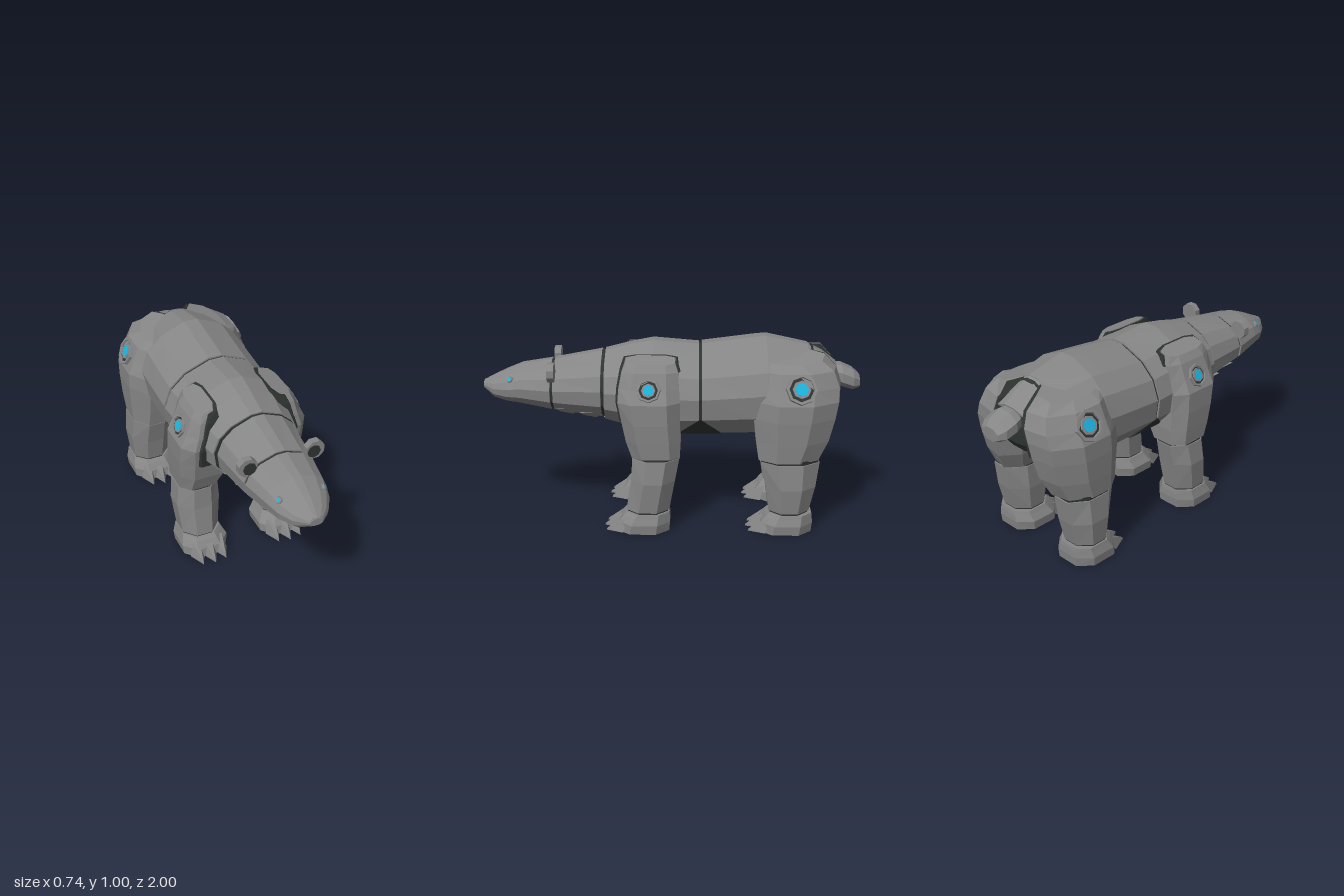
import * as THREE from 'three';
import { ConvexGeometry } from 'three/addons/geometries/ConvexGeometry.js';

const mat = (color) => new THREE.MeshStandardMaterial({ color, flatShading: true });
const GREY = mat(0x868686), DARK = mat(0x2e3431), BLUE = mat(0x1cb4e0);
const V = (x, y, z) => new THREE.Vector3(x, y, z);

function add(parent, name, geo, material = GREY) {
  const m = new THREE.Mesh(geo, material);
  m.name = name;
  parent.add(m);
  return m;
}

// Closed skin over a row of cross-sections; winding is turned outward by signed volume
function loft(rings) {
  const n = rings[0].length, pts = rings.flat(), idx = [];
  for (let i = 0; i < rings.length - 1; i++) {
    for (let j = 0; j < n; j++) {
      const a = i * n + j, b = i * n + (j + 1) % n;
      idx.push(a, b, b + n, a, b + n, a + n);
    }
  }
  for (const [r, flip] of [[0, true], [rings.length - 1, false]]) {
    const c = pts.length;
    pts.push(rings[r].reduce((s, p) => s.add(p), V(0, 0, 0)).divideScalar(n));
    for (let j = 0; j < n; j++) {
      const a = r * n + j, b = r * n + (j + 1) % n;
      idx.push(c, ...(flip ? [b, a] : [a, b]));
    }
  }
  let vol = 0;
  for (let i = 0; i < idx.length; i += 3) {
    vol += pts[idx[i]].dot(pts[idx[i + 1]].clone().cross(pts[idx[i + 2]]));
  }
  if (vol < 0) idx.reverse();
  const g = new THREE.BufferGeometry().setFromPoints(pts);
  g.setIndex(idx);
  g.computeVertexNormals();
  return g;
}

// Body cross-section: half outline as [share of half-width, share of height]
const HALF = [[0.13, 1], [0.6, 0.88], [0.87, 0.72], [1, 0.5], [0.95, 0.26], [0.66, 0.06], [0.22, 0]];
const OUTLINE = [...HALF, ...HALF.slice().reverse().map(([x, y]) => [-x, y])];
function bodyRing([z, top, bottom, hw], k) {
  const mid = (top + bottom) / 2, h = (top - bottom) * k;
  return OUTLINE.map(([x, v]) => V(x * hw * k, mid + (v - 0.5) * h, z));
}
function sample(table, z) {
  let i = 0;
  while (i < table.length - 2 && z < table[i + 1][0]) i++;
  const a = table[i], b = table[i + 1], t = (a[0] - z) / (a[0] - b[0]);
  return a.map((v, k) => v + (b[k] - v) * t);
}
// Piece of a body table between two z values (front to back)
function plate(table, z0, z1, k = 1) {
  const rows = [sample(table, z0), ...table.filter((r) => r[0] < z0 - 0.005 && r[0] > z1 + 0.005), sample(table, z1)];
  return loft(rows.map((r) => bodyRing(r, k)));
}

// Limb from rows [y, xInner, xOuter, zBack, zFront]. c: flat share of each side,
// sweep: outer back corner pulled forward, tilt: top row sloping down outward
function limb(rows, s, { k = 1, c = 0.42, sweep = 0, tilt = 0 } = {}) {
  const octagon = [[1, c], [c, 1], [-c, 1], [-1, c], [-1, -c], [-c, -1], [c, -1], [1, -c]];
  return loft(rows.map(([y, x0, x1, z0, z1], i) => octagon.map(([u, w]) => V(
    s * ((x0 + x1) / 2 + u * k * (x1 - x0) / 2),
    y - (i === rows.length - 1 ? tilt * u : 0),
    (z0 + z1) / 2 + w * k * (z1 - z0) / 2 + (w < 0 ? sweep * u : 0)))));
}

// z, top, bottom, half-width
const TORSO = [
  [0.36, 0.915, 0.56, 0.235], [0.2, 0.955, 0.52, 0.265], [0.09, 0.975, 0.475, 0.29], [-0.14, 0.955, 0.49, 0.3],
  [-0.43, 0.993, 0.49, 0.3], [-0.5, 1, 0.5, 0.3], [-0.74, 0.95, 0.54, 0.24], [-0.83, 0.885, 0.6, 0.19], [-0.87, 0.84, 0.66, 0.15],
];
const HEAD = [
  [1, 0.745, 0.705, 0.035], [0.94, 0.775, 0.66, 0.095], [0.87, 0.808, 0.645, 0.138], [0.79, 0.84, 0.635, 0.162],
  [0.63, 0.865, 0.605, 0.192], [0.35, 0.918, 0.565, 0.222],
];

// Round joint cover: bevelled ring, dark well, inner ring, lit centre
function hub(parent, s, x, y, z, r, yaw) {
  const g = new THREE.Group();
  g.name = 'jointHub';
  const profile = [[1, -0.04], [0.93, 0.014], [0.76, 0.014], [0.7, -0.01]];
  add(g, 'hubRing', new THREE.LatheGeometry(profile.map(([p, q]) => new THREE.Vector2(p * r, q)), 8));
  add(g, 'hubWell', new THREE.CylinderGeometry(r * 0.73, r * 0.73, 0.04, 8).translate(0, -0.016, 0), DARK);
  add(g, 'hubInnerRing', new THREE.CylinderGeometry(r * 0.55, r * 0.6, 0.02, 8));
  add(g, 'hubLight', new THREE.CylinderGeometry(r * 0.41, r * 0.41, 0.01, 8).translate(0, 0.007, 0), BLUE);
  g.position.set(s * x, y, z);
  g.quaternion.setFromUnitVectors(V(0, 1, 0), V(s, 0.48, yaw).normalize());
  parent.add(g);
}

const FRONT = {
  thigh: [[0.414, 0.12, 0.345, -0.05, 0.2], [0.5, 0.07, 0.35, -0.055, 0.23], [0.6, 0.07, 0.354, -0.05, 0.25],
    [0.71, 0.1, 0.352, -0.05, 0.27], [0.78, 0.13, 0.318, -0.045, 0.265], [0.86, 0.15, 0.288, -0.04, 0.25], [0.912, 0.165, 0.262, -0.025, 0.23]],
  shin: [[0.115, 0.135, 0.342, 0.005, 0.23], [0.28, 0.115, 0.358, -0.025, 0.205], [0.402, 0.122, 0.345, -0.048, 0.198]],
  toe: 0.35, shape: { c: 0.58, tilt: 0.014 }, hub: [0.318, 0.78, 0.11, 0.066, 0.05],
};
const HIND = {
  thigh: [[0.398, 0.12, 0.348, -0.78, -0.46], [0.5, 0.08, 0.355, -0.83, -0.445], [0.62, 0.06, 0.36, -0.86, -0.43],
    [0.71, 0.05, 0.358, -0.875, -0.43], [0.78, 0.04, 0.327, -0.878, -0.435], [0.86, 0.04, 0.294, -0.85, -0.45], [0.915, 0.07, 0.235, -0.79, -0.47]],
  shin: [[0.115, 0.135, 0.342, -0.73, -0.52], [0.25, 0.12, 0.355, -0.76, -0.5], [0.386, 0.122, 0.345, -0.778, -0.47]],
  toe: -0.4, shape: { c: 0.45, sweep: 0.025, tilt: 0.022 }, hub: [0.322, 0.79, -0.665, 0.085, -0.06],
};

function leg(name, spec, s) {
  const g = new THREE.Group();
  g.name = name;
  const { thigh, shin, toe, shape } = spec;
  add(g, 'thigh', limb(thigh, s, shape));
  add(g, 'shin', limb(shin, s));
  // dark seam where the thigh cover meets the body
  add(g, 'thighSeam', limb(thigh.slice(2).map(([y, x0, x1, z0, z1]) => [y, x0 - 0.014, x1 - 0.035, z0 - (toe > 0 ? 0.012 : 0), z1 + 0.012]), s, shape), DARK);
  // dark joints showing in the gaps
  add(g, 'kneeJoint', limb([[shin[2][0] - 0.01, ...shin[2].slice(1)], [thigh[0][0] + 0.01, ...thigh[0].slice(1)]], s, { k: 0.95 }), DARK);
  add(g, 'ankleJoint', limb([0.08, 0.13].map((y) => [y, ...shin[0].slice(1)]), s, { k: 0.95 }), DARK);
  // wedge-shaped paw with broad pointed claws along its front edge
  add(g, 'paw', limb([[0, 0.105, 0.355, toe - 0.345, toe - 0.07], [0.05, 0.1, 0.36, toe - 0.35, toe - 0.08],
    [0.085, 0.12, 0.35, toe - 0.348, toe - 0.105], [0.106, 0.13, 0.345, toe - 0.345, toe - 0.125]], s, { c: 0.5 }));
  for (let i = 0; i < 3; i++) {
    const x = s * (0.16 + i * 0.066), tip = toe - (i === 1 ? 0 : 0.012);
    add(g, 'claw', new ConvexGeometry([-1, 1].flatMap((d) => [V(x + d * 0.04, 0, tip - 0.09),
      V(x + d * 0.024, 0.08, tip - 0.115)]).concat(V(x, 0, tip), V(x, 0.012, tip - 0.004))));
  }
  hub(g, s, ...spec.hub);
  return g;
}

export function createModel() {
  const bear = new THREE.Group();
  bear.name = 'mechanicalBear';

  // torso plates over a dark core
  add(bear, 'bodyCore', plate(TORSO, 0.35, -0.868, 0.965), DARK);
  add(bear, 'chestPlate', plate(TORSO, 0.345, -0.147));
  add(bear, 'rumpPlate', plate(TORSO, -0.163, -0.72));
  add(bear, 'rumpTop', new ConvexGeometry([-1, 1].flatMap((s) => [V(s * 0.16, 0.9, -0.71), V(s * 0.033, 0.956, -0.71),
    V(s * 0.14, 0.86, -0.8), V(s * 0.03, 0.91, -0.8), V(s * 0.11, 0.825, -0.87), V(s * 0.035, 0.852, -0.875)])));

  // neck and head
  add(bear, 'neckCore', plate(HEAD, 0.7, 0.32, 0.955), DARK);
  add(bear, 'neck', plate(HEAD, 0.615, 0.363));
  add(bear, 'head', plate(HEAD, 1, 0.63));
  for (let i = 0; i < 3; i++) {
    const z = 0.6 - i * 0.125, [, , b, w] = sample(HEAD, z - 0.05);
    add(bear, 'throatPlate', new ConvexGeometry([-1, 1].flatMap((s) => [V(s * w * 0.78, b + 0.035, z), V(s * w * 0.78, b + 0.035, z - 0.11),
      V(s * w * 0.35, b - 0.005, z - 0.01), V(s * w * 0.35, b - 0.018, z - 0.08)])));
  }
  const nose = add(bear, 'nose', new THREE.CylinderGeometry(0.036, 0.04, 0.04, 6).rotateY(Math.PI / 6));
  nose.rotation.x = Math.PI / 2;
  nose.scale.z = 0.4;
  nose.position.set(0, 0.735, 0.977);

  // tail
  const tail = [[-0.85, 0.8, 0.07, 0.045], [-0.905, 0.785, 0.09, 0.058], [-0.965, 0.763, 0.085, 0.054], [-1, 0.752, 0.06, 0.034]];
  add(bear, 'tail', loft(tail.map(([z, y, rx, ry]) => Array.from({ length: 8 }, (_, i) => {
    const a = (i + 0.5) * Math.PI / 4;
    return V(Math.cos(a) * rx * 1.08, y + Math.sin(a) * ry * 1.08, z);
  }))));

  for (const s of [1, -1]) {
    const side = s > 0 ? 'left' : 'right';
    bear.add(leg(side + 'FrontLeg', FRONT, s), leg(side + 'HindLeg', HIND, s));

    // dark flank inset beside the belly
    add(bear, 'flankInset', new ConvexGeometry([V(s * 0.294, 0.62, -0.155), V(s * 0.206, 0.515, -0.04), V(s * 0.206, 0.515, -0.27),
      V(s * 0.07, 0.484, -0.05), V(s * 0.07, 0.484, -0.25), V(s * 0.15, 0.6, -0.155)]), DARK);

    // ear: octagonal plate with a dark hollow
    const ear = new THREE.Group();
    ear.name = side + 'Ear';
    add(ear, 'earShell', new THREE.CylinderGeometry(0.052, 0.052, 0.036, 8).rotateX(Math.PI / 2).rotateZ(Math.PI / 8));
    add(ear, 'earHollow', new THREE.CylinderGeometry(0.036, 0.036, 0.01, 8).rotateX(Math.PI / 2).translate(-s * 0.008, -0.006, 0.015), DARK);
    ear.position.set(s * 0.18, 0.836, 0.62);
    bear.add(ear);

    // eye: small socket with a lit lens
    const eye = new THREE.Group();
    eye.name = side + 'Eye';
    add(eye, 'eyeSocket', new THREE.CylinderGeometry(0.015, 0.019, 0.01, 8));
    add(eye, 'eyeLens', new THREE.CylinderGeometry(0.01, 0.01, 0.014, 8), BLUE);
    eye.position.set(s * 0.12, 0.779, 0.845);
    eye.quaternion.setFromUnitVectors(V(0, 1, 0), V(s * 0.75, 0.55, 0.4).normalize());
    bear.add(eye);
  }
  return bear;
}
